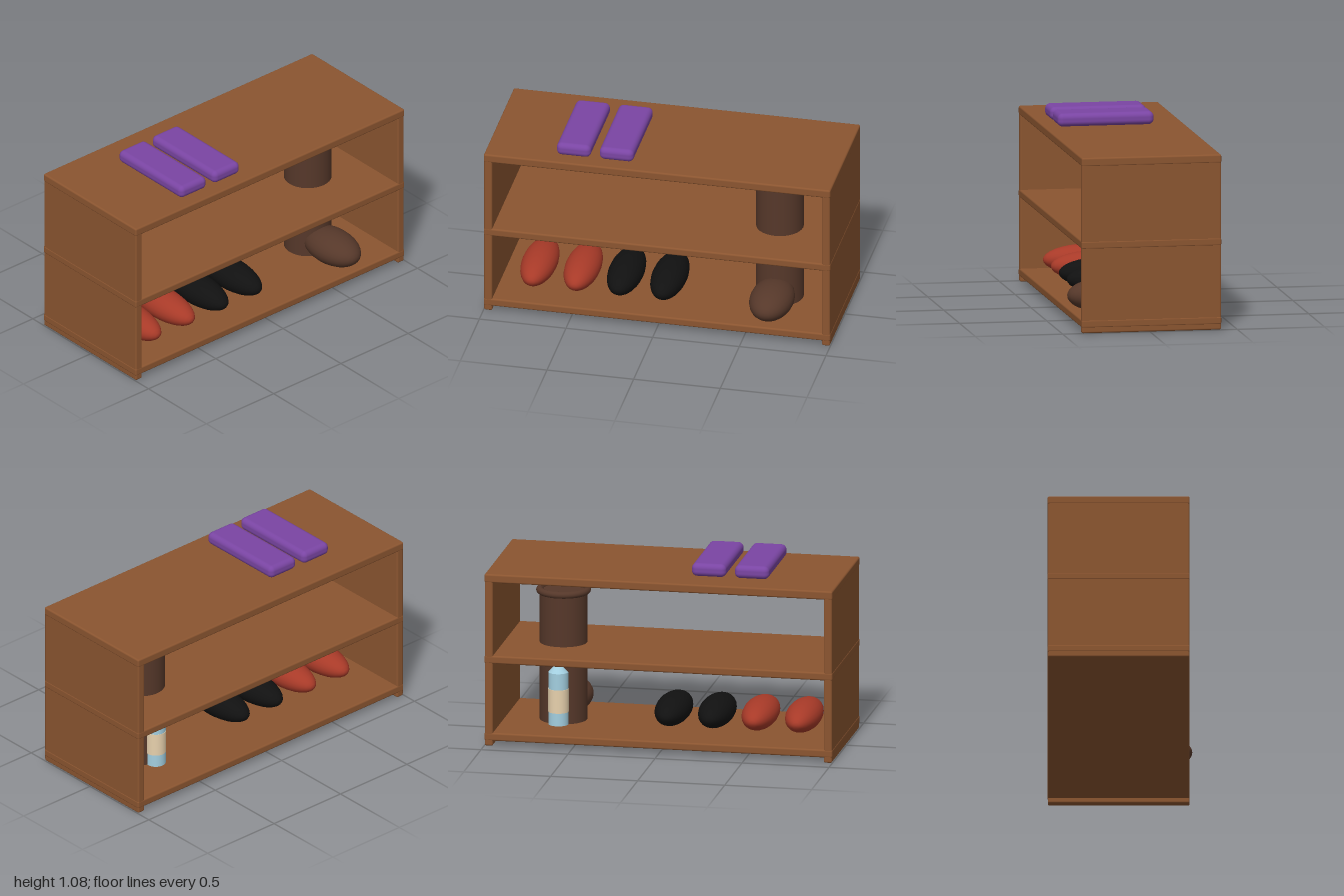
import * as THREE from 'three';
import { RoundedBoxGeometry } from 'three/addons/geometries/RoundedBoxGeometry.js';

const mat = (name, color) => {
  const m = new THREE.MeshStandardMaterial({ color });
  m.name = name;
  return m;
};

export function createModel() {
  const wood = mat('wood', 0x8b5530);
  const leather = mat('brownLeather', 0x56382a);
  const red = mat('redLeather', 0xa83a28);
  const black = mat('blackLeather', 0x111111);
  const purple = mat('purpleFabric', 0x7a45a3);
  const blue = mat('bottleBlue', 0xa3cfe0);
  const cream = mat('labelCream', 0xeed7b2);

  const root = new THREE.Group();
  root.name = 'shoeRack';
  const add = (name, geometry, material, x, y, z, parent = root) => {
    const mesh = new THREE.Mesh(geometry, material);
    mesh.name = name;
    mesh.position.set(x, y, z);
    parent.add(mesh);
    return mesh;
  };
  const group = (name) => {
    const g = new THREE.Group();
    g.name = name;
    root.add(g);
    return g;
  };

  // Rack: three boards between two side panels, open front and back
  const rackZ = -0.01;
  const boards = [['topBoard', 0.975, 0.05], ['middleShelf', 0.502, 0.046], ['bottomShelf', 0.053, 0.046]];
  for (const [name, y, h] of boards) {
    add(name, new RoundedBoxGeometry(2, h, 0.8, 3, 0.01), wood, 0, y, rackZ);
  }
  for (const side of [-1, 1]) {
    add(side > 0 ? 'leftPanel' : 'rightPanel',
      new RoundedBoxGeometry(0.047, 0.998, 0.798, 3, 0.01), wood, side * 0.9745, 0.499, rackZ);
  }

  // Slippers on top
  for (const x of [-0.5, -0.253]) {
    add('slipper', new RoundedBoxGeometry(0.197, 0.075, 0.55, 4, 0.03), purple, x, 1.0375, 0.04);
  }

  // Low shoes: stretched spheres with the poles at heel and toe
  const shoeShape = (rx, ry, rz) =>
    new THREE.SphereGeometry(1, 24, 16).rotateX(Math.PI / 2).scale(rx, ry, rz);
  [[-0.75, red], [-0.5, red], [-0.25, black], [0, black]].forEach(([x, m]) =>
    add(m === red ? 'redShoe' : 'blackShoe', shoeShape(0.1, 0.085, 0.25), m, x, 0.155, 0.045));

  // Tall boot passing through the middle shelf
  const boot = group('tallBoot');
  add('bootShaft', new THREE.CylinderGeometry(0.135, 0.135, 0.755, 32), leather, 0.623, 0.4525, -0.01, boot);
  add('bootCuff', new THREE.TorusGeometry(0.135, 0.02, 12, 32).rotateX(Math.PI / 2), leather, 0.623, 0.828, -0.01, boot);
  add('bootFoot', shoeShape(0.125, 0.095, 0.205), leather, 0.623, 0.16, 0.2, boot);

  // Bottle behind the boot
  const bottle = group('bottle');
  const [bx, bz, r] = [0.627, -0.138, 0.057];
  add('bottleBody', new THREE.CylinderGeometry(r, r, 0.305, 24), blue, bx, 0.2275, bz, bottle);
  add('bottleLabel', new THREE.CylinderGeometry(r + 0.002, r + 0.002, 0.135, 24), cream, bx, 0.2175, bz, bottle);
  add('bottleCap', new THREE.ConeGeometry(r, 0.065, 24), blue, bx, 0.4125, bz, bottle);

  return root;
}
